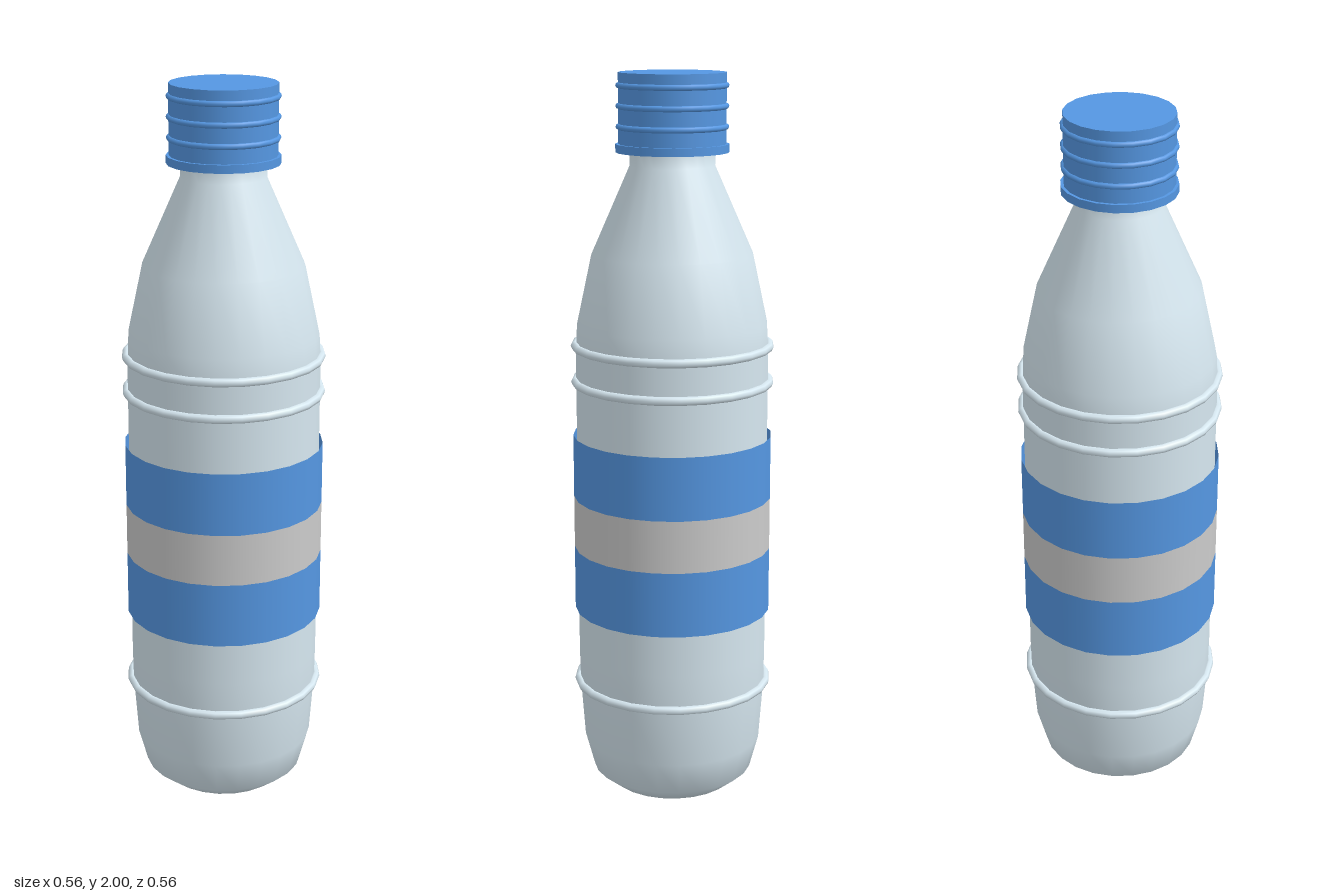
import * as THREE from 'three';

const SIDES = 24, CAP_SIDES = 20;
const material = (color) => new THREE.MeshStandardMaterial({ color, side: THREE.DoubleSide });

export function createModel() {
  const bottle = new THREE.Group();
  bottle.name = 'bottle';
  const plastic = material(0xd6e7f0), blue = material(0x5597e2), white = material(0xf4f4f4);

  const add = (name, geometry, mat, y = 0) => {
    const mesh = new THREE.Mesh(geometry, mat);
    mesh.name = name;
    mesh.position.y = y;
    bottle.add(mesh);
    return mesh;
  };
  const lathe = (points, sides) =>
    new THREE.LatheGeometry(points.map(([r, y]) => new THREE.Vector2(r, y)), sides);
  const ring = (name, radius, tube, y, sides, mat) =>
    add(name, new THREE.TorusGeometry(radius, tube, 8, sides).rotateX(Math.PI / 2), mat, y);

  // Bottle body, from the base up to the neck
  add('body', lathe([
    [0, 0], [0.172, 0], [0.225, 0.042], [0.25, 0.135], [0.262, 0.3], [0.264, 0.4],
    [0.264, 1.25], [0.26, 1.33], [0.219, 1.52], [0.115, 1.755], [0.115, 1.81],
  ], SIDES), plastic);

  // Raised ribs around the body
  for (const y of [0.305, 1.17, 1.27]) ring('bodyRib', 0.266, 0.012, y, SIDES, plastic);

  // Label bands wrapped around the middle
  const band = (name, low, high, mat) =>
    add(name, new THREE.CylinderGeometry(0.274, 0.274, high - low, SIDES, 1, true), mat, (low + high) / 2);
  band('lowerLabelBand', 0.52, 0.7, blue);
  band('middleLabelBand', 0.7, 0.845, white);
  band('upperLabelBand', 0.845, 1.02, blue);

  // Screw cap with its collar and grip ridges
  add('cap', new THREE.CylinderGeometry(0.144, 0.144, 0.2, CAP_SIDES), blue, 1.9);
  add('capCollar', new THREE.CylinderGeometry(0.152, 0.152, 0.022, CAP_SIDES), blue, 1.802);
  for (const y of [1.858, 1.912, 1.966]) ring('capRidge', 0.143, 0.008, y, CAP_SIDES, blue);

  return bottle;
}
